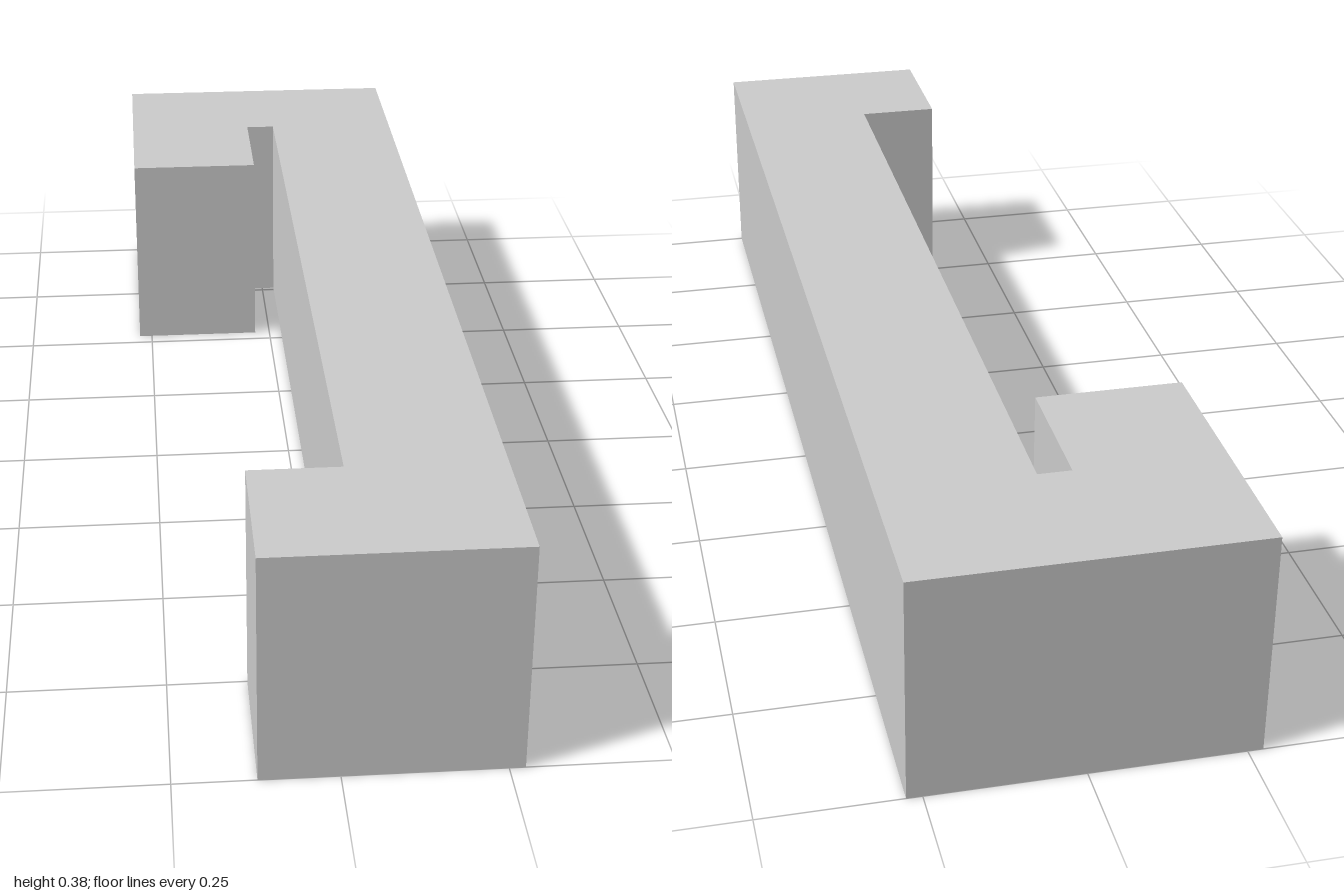
import * as THREE from 'three';

const HEIGHT = 0.38;

export function createModel() {
  const group = new THREE.Group();
  group.name = 'hookedBar';

  // Plan outline as [x, z]: long bar, short foot at the front, returning hook at the back
  const outline = [
    [0.275, 1], [0.275, -1], [-0.275, -1], [-0.275, -0.53], [-0.03, -0.53],
    [-0.03, -0.76], [0.025, -0.76], [0.025, 0.75], [-0.123, 0.75], [-0.123, 1],
  ];
  const shape = new THREE.Shape(outline.map(([x, z]) => new THREE.Vector2(x, -z)));

  // Extrude the plan upward from the ground
  const geometry = new THREE.ExtrudeGeometry(shape, { depth: HEIGHT, bevelEnabled: false });
  geometry.rotateX(-Math.PI / 2);

  const body = new THREE.Mesh(
    geometry,
    new THREE.MeshStandardMaterial({ color: 0xcccccc, flatShading: true })
  );
  body.name = 'hookedBarBody';
  group.add(body);
  return group;
}
